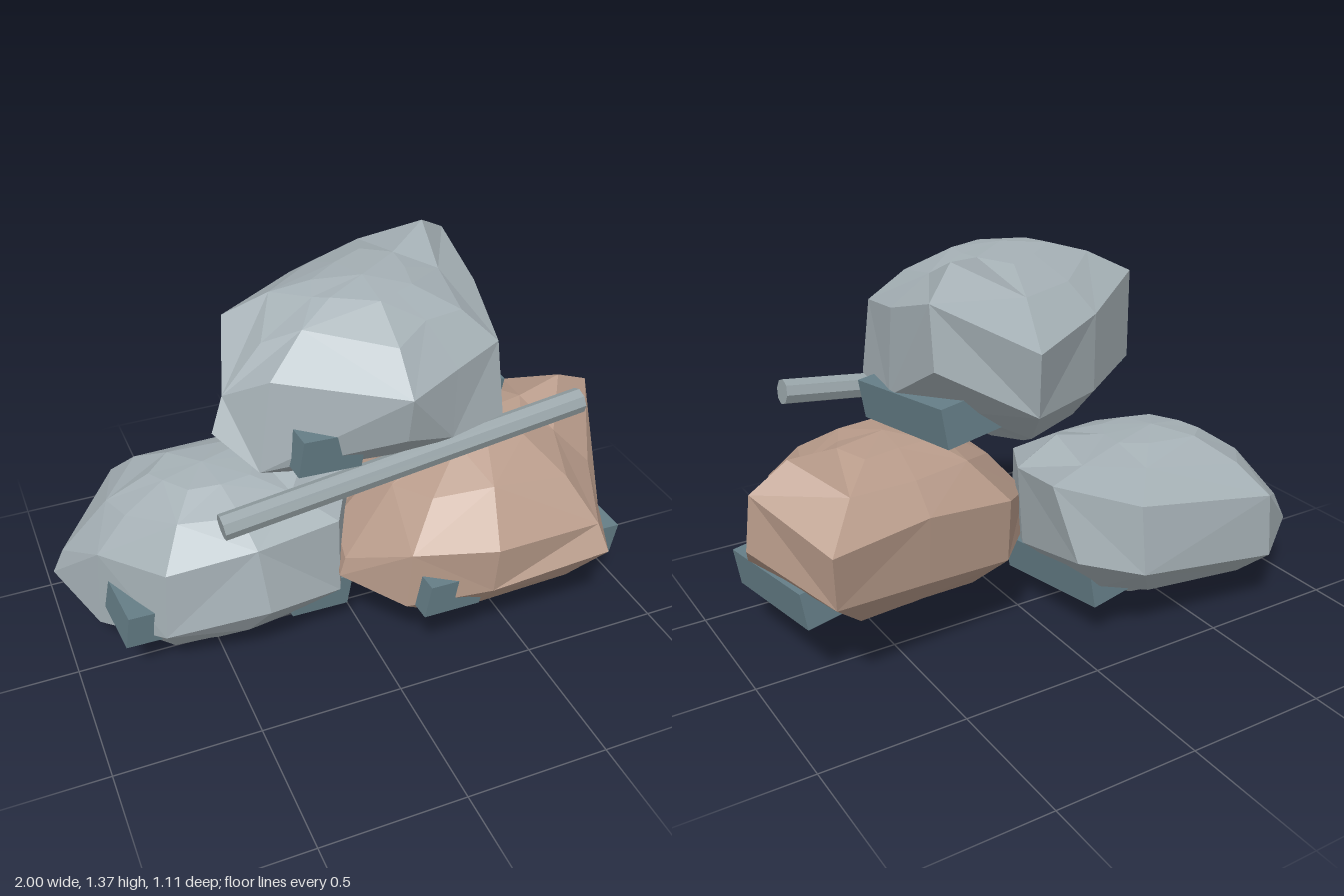
import * as THREE from 'three';

const mat = (name, color) => {
  const m = new THREE.MeshStandardMaterial({ color, flatShading: true });
  m.name = name;
  return m;
};

// Faceted boulder: an upper and a lower outline of [x, y, z] points form the
// widest belt, closed towards a top and a bottom pole by shrinking rings.
// The crown point of one column is lifted into a peak.
function boulder(name, material, top, bottom, [peak, lift], upper, lower) {
  const toward = (pole, p, t, power) => [
    pole[0] + (p[0] - pole[0]) * t,
    pole[1] + (p[1] - pole[1]) * Math.pow(t, power),
    pole[2] + (p[2] - pole[2]) * t,
  ];
  const crown = upper.map((p, i) => toward(top, p, i % 2 ? 0.66 : 0.72, 2.2));
  crown[peak][1] += lift;
  const rings = [
    lower.map((p, i) => toward(bottom, p, i % 2 ? 0.3 : 0.36, 2)),
    lower.map((p, i) => toward(bottom, p, i % 2 ? 0.68 : 0.74, 2)),
    lower,
    upper,
    crown,
    upper.map((p) => toward(top, p, 0.36, 2.2)),
  ];
  const n = upper.length;
  const points = [...rings.flat(), bottom, top];
  const bottomId = rings.length * n, topId = bottomId + 1;
  const last = bottomId - n;
  const index = [];
  for (let i = 0; i < n; i++) {
    const j = (i + 1) % n;
    index.push(bottomId, j, i);
    for (let r = 0; r < rings.length - 1; r++) {
      const a = r * n + i, b = r * n + j;
      if ((i + r) % 2) index.push(a, b, b + n, a, b + n, a + n);
      else index.push(a, b, a + n, b, b + n, a + n);
    }
    index.push(last + i, last + j, topId);
  }
  const g = new THREE.BufferGeometry();
  g.setAttribute('position', new THREE.Float32BufferAttribute(points.flat(), 3));
  g.setIndex(index);
  const flat = g.toNonIndexed();
  flat.computeVertexNormals();
  const mesh = new THREE.Mesh(flat, material);
  mesh.name = name;
  return mesh;
}

export function createModel() {
  const model = new THREE.Group();
  model.name = 'boulderPile';
  const grey = mat('grey stone', 0xa5b0b5);
  const brown = mat('brown stone', 0xb89b8a);
  const slate = mat('slate blue', 0x657e87);
  const steel = mat('steel grey', 0x98a4a8);

  // Boulders
  model.add(boulder('topBoulder', grey, [0.04, 1.355, 0.04], [0.0, 0.71, 0.0], [0, 0.055],
    [
      [0.49, 1.3, -0.31], [0.27, 1.18, -0.56], [-0.05, 1.2, -0.37], [-0.38, 1.23, -0.1],
      [-0.46, 1.08, 0.13], [-0.34, 1.16, 0.24], [0.04, 1.12, 0.44], [0.23, 1.14, 0.35],
      [0.41, 1.16, 0.27], [0.48, 1.22, -0.04],
    ], [
      [0.49, 1.1, -0.33], [0.25, 0.97, -0.52], [-0.05, 0.95, -0.37], [-0.38, 0.93, -0.1],
      [-0.51, 0.98, 0.17], [-0.39, 0.86, 0.26], [0.04, 0.96, 0.41], [0.22, 0.9, 0.36],
      [0.43, 0.9, 0.3], [0.49, 0.93, -0.02],
    ]));
  model.add(boulder('rightBoulder', brown, [0.47, 0.775, 0.08], [0.38, 0.1, 0.18], [0, 0.04],
    [
      [0.98, 0.72, -0.05], [0.84, 0.59, -0.33], [0.48, 0.6, -0.26], [0.15, 0.55, -0.2],
      [-0.06, 0.44, 0.05], [-0.09, 0.4, 0.22], [0.07, 0.5, 0.41], [0.32, 0.54, 0.54],
      [0.72, 0.51, 0.5], [0.86, 0.54, 0.2],
    ], [
      [1.0, 0.53, -0.04], [0.82, 0.39, -0.29], [0.48, 0.36, -0.24], [0.15, 0.32, -0.18],
      [-0.07, 0.32, 0.05], [-0.11, 0.33, 0.22], [0.06, 0.28, 0.4], [0.32, 0.36, 0.52],
      [0.74, 0.42, 0.55], [0.91, 0.35, 0.23],
    ]));
  model.add(boulder('leftBoulder', grey, [-0.47, 0.67, -0.14], [-0.58, 0.01, -0.07], [8, 0.06],
    [
      [0.08, 0.64, -0.34], [-0.2, 0.54, -0.45], [-0.72, 0.47, -0.5], [-0.96, 0.33, -0.28],
      [-0.87, 0.43, -0.08], [-0.7, 0.48, 0.18], [-0.4, 0.53, 0.23], [-0.1, 0.54, 0.19],
      [0.05, 0.6, -0.08],
    ], [
      [0.06, 0.41, -0.46], [-0.2, 0.3, -0.48], [-0.73, 0.24, -0.51], [-1.0, 0.23, -0.3],
      [-0.89, 0.12, -0.1], [-0.72, 0.23, 0.19], [-0.38, 0.3, 0.28], [-0.1, 0.25, 0.2],
      [0.03, 0.31, -0.08],
    ]));

  // Tilted bars wedged into both sides of each boulder
  [
    [0.375, 0.905, -0.08], [0.78, 0.31, 0.12], [-0.165, 0.205, -0.1],
    [-0.205, 0.95, 0.11], [0.185, 0.355, 0.23], [-0.755, 0.265, -0.1],
  ].forEach(([x, y, z], i) => {
    const bar = new THREE.Mesh(new THREE.BoxGeometry(0.22, 0.13, 0.48), slate);
    bar.name = (i < 3 ? 'leftBar' : 'rightBar') + (i % 3 + 1);
    bar.position.set(x, y, z);
    bar.rotation.set(0.09, 0.1, -0.12, 'YXZ');
    model.add(bar);
  });

  // Eight-sided rod leaning across the front
  const a = new THREE.Vector3(-0.54, 0.735, 0.32), b = new THREE.Vector3(0.72, 0.887, 0.3);
  const dir = b.clone().sub(a);
  const rod = new THREE.Mesh(new THREE.CylinderGeometry(0.043, 0.043, dir.length(), 8), steel);
  rod.name = 'rod';
  rod.position.copy(a).add(b).multiplyScalar(0.5);
  rod.quaternion.setFromUnitVectors(new THREE.Vector3(0, 1, 0), dir.normalize());
  model.add(rod);
  return model;
}
